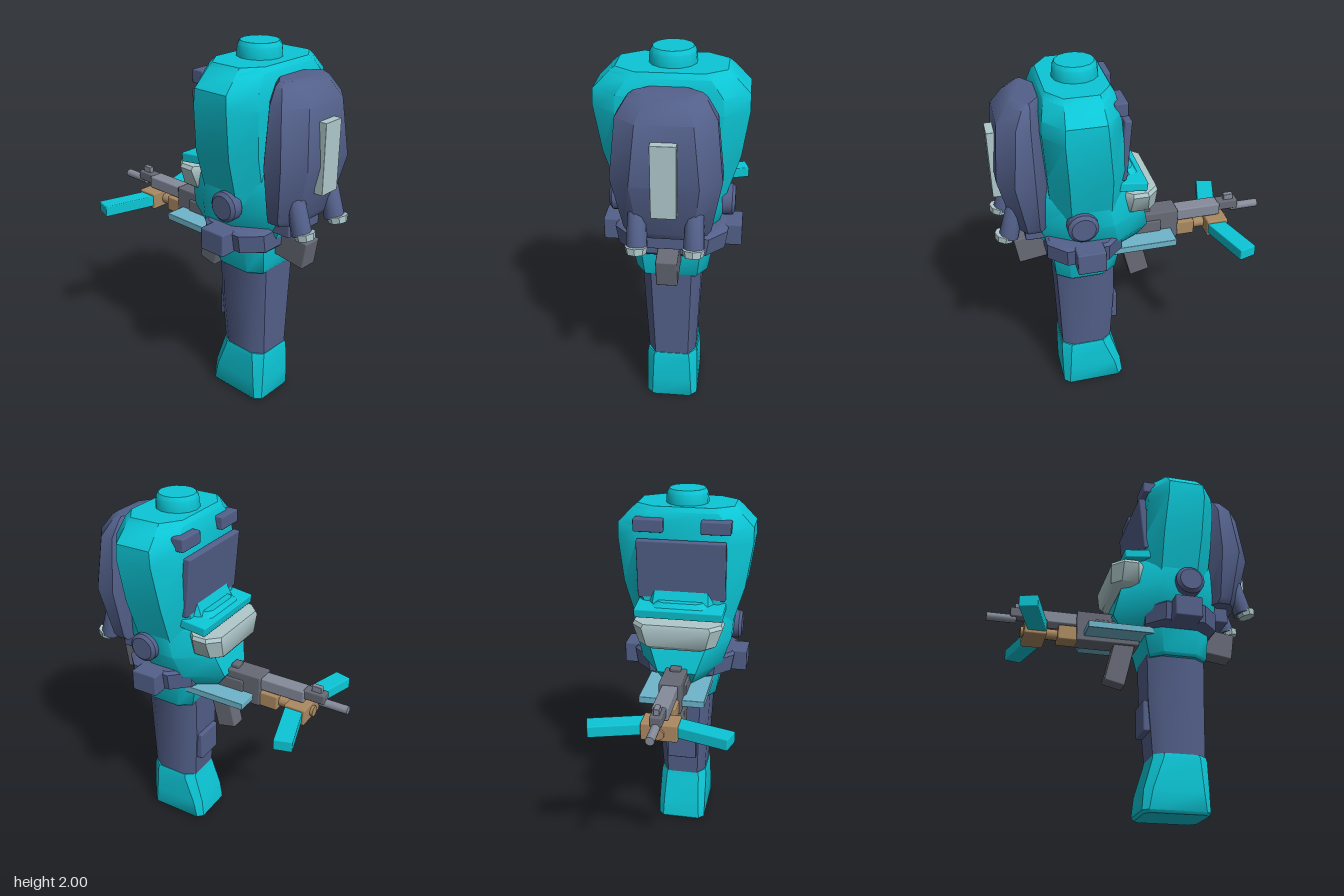
import * as THREE from 'three';
import { toCreasedNormals } from 'three/addons/utils/BufferGeometryUtils.js';
import { RoundedBoxGeometry } from 'three/addons/geometries/RoundedBoxGeometry.js';

const material = (name, color) => {
  const m = new THREE.MeshStandardMaterial({ color });
  m.name = name;
  return m;
};

// Skin a stack of chamfered rectangles: [y, halfWidth, zMin, zMax, chamferX, chamferZ]
function loft(sections) {
  const pos = [], idx = [], n = 8;
  for (const [y, hx, z0, z1, cx, cz] of sections) {
    const ring = [
      [hx - cx, z1], [hx, z1 - cz], [hx, z0 + cz], [hx - cx, z0],
      [cx - hx, z0], [-hx, z0 + cz], [-hx, z1 - cz], [cx - hx, z1],
    ];
    for (const [x, z] of ring) pos.push(x, y, z);
  }
  for (let s = 0; s < sections.length - 1; s++) {
    for (let i = 0; i < n; i++) {
      const a = s * n + i, b = s * n + (i + 1) % n;
      idx.push(a, b, b + n, a, b + n, a + n);
    }
  }
  const top = (sections.length - 1) * n;
  for (let i = 1; i < n - 1; i++) {
    idx.push(0, i + 1, i);
    idx.push(top, top + i, top + i + 1);
  }
  const g = new THREE.BufferGeometry();
  g.setAttribute('position', new THREE.Float32BufferAttribute(pos, 3));
  g.setIndex(idx);
  return toCreasedNormals(g, 0.65);
}

export function createModel() {
  const root = new THREE.Group();
  root.name = 'armedFigure';
  const teal = material('teal', 0x0cc6d6);
  const navy = material('navy', 0x53608a);
  const pale = material('paleGrey', 0xafc9cc);
  const blue = material('dustyBlue', 0x6fb5cb);
  const gunGrey = material('gunGrey', 0x676a76);
  const steel = material('steel', 0x868c9b);
  const tan = material('tan', 0xab8a62);

  const add = (name, geo, mat, p = [0, 0, 0], r = [0, 0, 0], parent = root) => {
    const m = new THREE.Mesh(geo, mat);
    m.name = name;
    m.position.set(...p);
    m.rotation.set(...r);
    parent.add(m);
    return m;
  };
  // Bevelled box given by its ranges
  const box = (name, mat, [x0, x1], [y0, y1], [z0, z1], rot = [0, 0, 0], bevel = 0.008) =>
    add(name, new RoundedBoxGeometry(x1 - x0, y1 - y0, z1 - z0, 1, bevel), mat,
      [(x0 + x1) / 2, (y0 + y1) / 2, (z0 + z1) / 2], rot);

  // Leg, boot and hips
  add('boot', loft([
    [0, 0.13, 0.1, 0.44, 0.03, 0.03], [0.015, 0.14, 0.088, 0.447, 0.03, 0.03],
    [0.12, 0.14, 0.1, 0.447, 0.035, 0.04], [0.28, 0.137, 0.15, 0.445, 0.04, 0.05],
    [0.305, 0.132, 0.155, 0.44, 0.04, 0.05],
  ]), teal);
  add('leg', loft([
    [0.29, 0.128, 0.155, 0.437, 0.04, 0.06], [0.6, 0.143, 0.133, 0.443, 0.045, 0.06],
    [0.86, 0.155, 0.128, 0.45, 0.05, 0.07],
  ]), navy);
  box('kneePad', navy, [-0.085, 0.085], [0.43, 0.6], [0.108, 0.15]);
  add('hips', loft([
    [0.83, 0.175, 0.14, 0.445, 0.05, 0.07], [0.845, 0.185, 0.13, 0.455, 0.05, 0.07],
    [0.99, 0.21, 0.1, 0.465, 0.06, 0.08],
  ]), teal);

  // Belt and its pouches
  add('belt', loft([
    [0.975, 0.23, 0.12, 0.48, 0.08, 0.08], [0.995, 0.27, 0.1, 0.5, 0.09, 0.09],
    [1.09, 0.285, 0.1, 0.5, 0.09, 0.09], [1.105, 0.27, 0.11, 0.485, 0.09, 0.09],
  ]), navy);
  for (const s of [-1, 1]) {
    box('beltPouch', navy, s > 0 ? [0.24, 0.355] : [-0.355, -0.24], [0.985, 1.105], [0.22, 0.37]);
  }

  // Body
  add('lowerBody', loft([
    [0.97, 0.15, 0.02, 0.44, 0.08, 0.14], [1.0, 0.18, -0.01, 0.48, 0.1, 0.16],
    [1.07, 0.225, -0.06, 0.515, 0.12, 0.19], [1.2, 0.27, -0.03, 0.52, 0.12, 0.19],
    [1.35, 0.28, 0.02, 0.515, 0.12, 0.17], [1.53, 0.24, 0.1, 0.48, 0.1, 0.12],
  ]), teal);
  add('upperBody', loft([
    [1.2, 0.245, 0.08, 0.46, 0.1, 0.09], [1.5, 0.335, 0.085, 0.48, 0.11, 0.09],
    [1.74, 0.37, 0.108, 0.495, 0.12, 0.09], [1.82, 0.367, 0.114, 0.49, 0.12, 0.09],
    [1.9, 0.29, 0.13, 0.47, 0.1, 0.08], [1.925, 0.26, 0.145, 0.455, 0.1, 0.07],
  ]), teal);
  const cap = [[0.115, 1.9], [0.115, 1.94], [0.11, 1.98], [0.098, 2], [0, 2]];
  add('topCap', toCreasedNormals(
    new THREE.LatheGeometry(cap.map(([x, y]) => new THREE.Vector2(x, y)), 14), 0.5), teal, [0, 0, 0.283]);

  // Face: visor, brows, ledge and jaw plate
  box('visor', navy, [-0.24, 0.24], [1.44, 1.765], [0.07, 0.11], [-0.09, 0, 0]);
  for (const s of [-1, 1]) {
    const x = s > 0 ? [0.1, 0.26] : [-0.26, -0.1];
    box('brow', navy, x, [1.8, 1.87], [0.08, 0.15]);
  }
  box('ledge', teal, [-0.24, 0.24], [1.37, 1.42], [-0.025, 0.13], [-0.12, 0, 0]);
  add('ledgeBump', loft([
    [1.4, 0.17, -0.005, 0.12, 0.03, 0.02], [1.44, 0.12, 0.02, 0.12, 0.03, 0.02],
  ]), teal);
  add('jawPlate', loft([
    [1.21, 0.18, -0.07, 0.11, 0.05, 0.05], [1.23, 0.21, -0.085, 0.11, 0.05, 0.05],
    [1.33, 0.245, -0.09, 0.11, 0.06, 0.06], [1.35, 0.235, -0.085, 0.11, 0.06, 0.06],
  ]), pale);

  // Ear discs
  for (const s of [-1, 1]) {
    const ear = [[0, 0.25], [0.08, 0.25], [0.08, 0.3], [0.062, 0.315], [0, 0.315]];
    add('earDisc', toCreasedNormals(
      new THREE.LatheGeometry(ear.map(([x, y]) => new THREE.Vector2(x, y)), 16), 0.5),
    navy, [0, 1.23, 0.325], [0, 0, -s * Math.PI / 2]);
  }

  // Backpack with strip and thrusters
  add('backpack', loft([
    [1.17, 0.19, 0.47, 0.64, 0.07, 0.05], [1.2, 0.21, 0.47, 0.655, 0.08, 0.06],
    [1.48, 0.26, 0.46, 0.72, 0.1, 0.08], [1.77, 0.23, 0.46, 0.69, 0.1, 0.08],
    [1.85, 0.18, 0.47, 0.63, 0.08, 0.06], [1.87, 0.155, 0.48, 0.6, 0.07, 0.05],
  ]), navy);
  box('backStrip', pale, [-0.06, 0.06], [1.335, 1.695], [0.69, 0.738], [0, 0, 0], 0.003);
  box('packBase', navy, [-0.125, 0.125], [1.085, 1.18], [0.46, 0.6]);
  for (const s of [-1, 1]) {
    const thruster = new THREE.Group();
    thruster.name = 'thruster';
    thruster.position.set(s * 0.135, 1.24, 0.66);
    thruster.rotation.x = -0.25;
    root.add(thruster);
    const shell = [[0, -0.1], [0.052, -0.1], [0.044, 0.08], [0.036, 0.093], [0, 0.093]];
    add('thrusterBody', toCreasedNormals(
      new THREE.LatheGeometry(shell.map(([x, y]) => new THREE.Vector2(x, y)), 10), 0.7),
    navy, [0, 0, 0], [0, 0, 0], thruster);
    add('thrusterNozzle', toCreasedNormals(new THREE.CylinderGeometry(0.055, 0.048, 0.035, 8), 0.5),
      pale, [0, -0.105, 0.02], [0, 0, 0], thruster);
  }

  // Rifle pointing along -z
  box('stock', gunGrey, [-0.053, 0.053], [0.915, 1.065], [0.4, 0.65], [0.15, 0, 0]);
  box('receiver', gunGrey, [-0.06, 0.06], [0.92, 1.095], [-0.25, 0.1]);
  box('receiverSide', gunGrey, [-0.07, 0.07], [0.95, 1.05], [-0.15, 0.05]);
  box('rearSight', gunGrey, [-0.03, 0.03], [1.08, 1.115], [-0.1, -0.055]);
  box('handguard', steel, [-0.043, 0.043], [1.015, 1.085], [-0.5, -0.24]);
  box('gasBlock', gunGrey, [-0.032, 0.032], [1.035, 1.09], [-0.61, -0.49]);
  box('frontSight', steel, [-0.015, 0.015], [1.08, 1.122], [-0.585, -0.53], [0, 0, 0], 0.004);
  add('barrel', new THREE.CylinderGeometry(0.023, 0.023, 0.16, 12), steel,
    [0, 1.032, -0.655], [Math.PI / 2, 0, 0]);
  box('magazine', gunGrey, [-0.045, 0.045], [0.695, 0.96], [-0.062, 0.052], [0.24, 0, 0]);

  // Wooden foregrip and hand block
  box('foregrip', tan, [-0.05, 0.05], [0.92, 1.005], [-0.35, -0.24]);
  add('gripRod', new THREE.CylinderGeometry(0.03, 0.03, 0.22, 10), tan,
    [0, 0.96, -0.44], [Math.PI / 2, 0, 0]);
  box('handBlock', tan, [-0.095, 0.095], [0.915, 1.01], [-0.535, -0.415]);

  // Arms: flat plates beside the rifle and angled forward ends
  for (const s of [-1, 1]) {
    box('armPlate', blue, s > 0 ? [0.05, 0.178] : [-0.178, -0.05], [0.947, 0.985], [-0.21, 0.16], [0, 0, 0], 0.004);
    add('armEnd', new RoundedBoxGeometry(0.3, 0.063, 0.098, 1, 0.006), teal,
      [s * 0.22, 0.965, -0.508], [0, s * 0.29, 0]);
  }
  return root;
}
